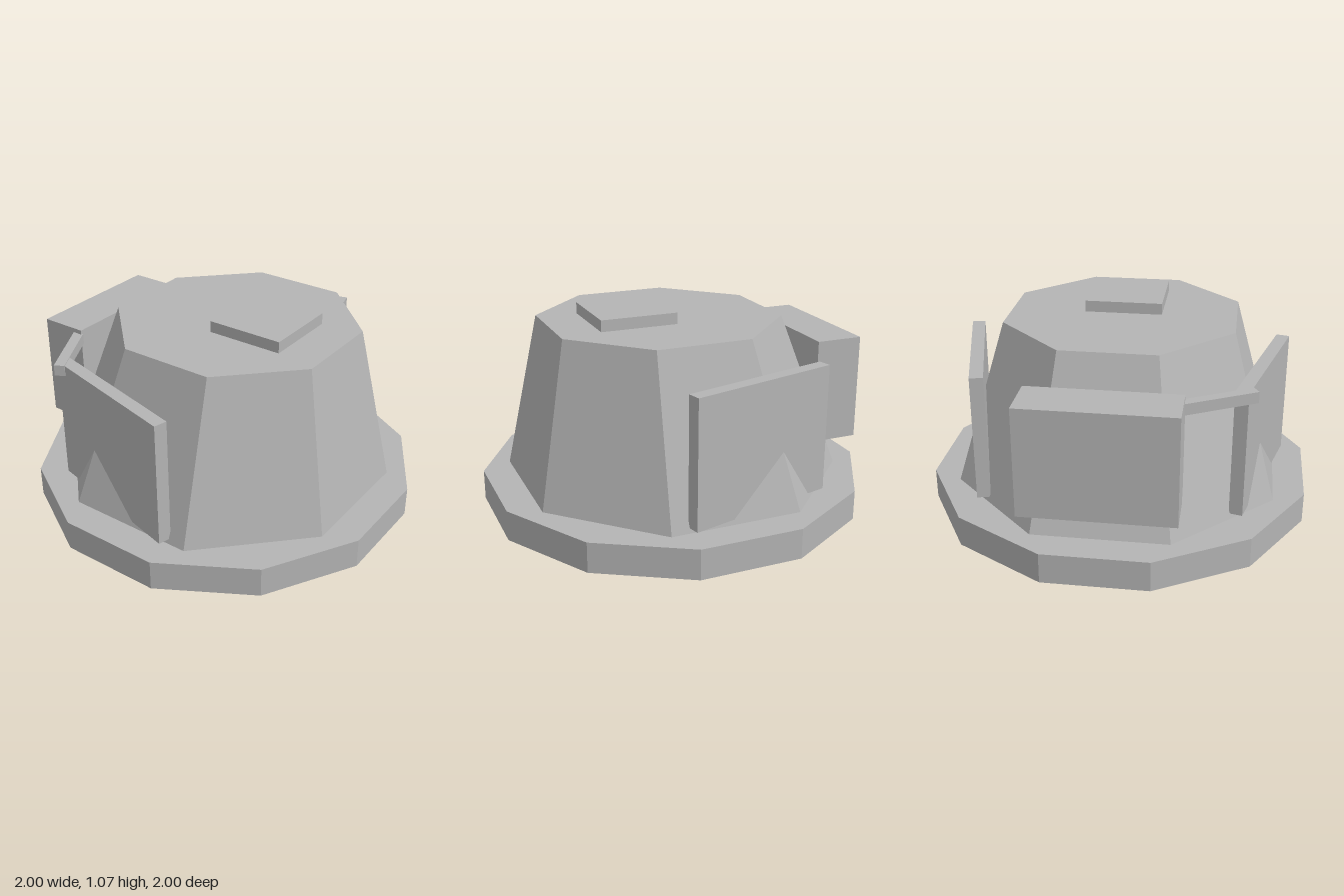
import * as THREE from 'three';

export function createModel() {
  const model = new THREE.Group();
  const grey = new THREE.MeshStandardMaterial({ color: 0xb4b4b4 });
  grey.name = 'plain grey';
  grey.flatShading = true;

  function add(name, geometry, x, y, z, turn = 0) {
    const mesh = new THREE.Mesh(geometry, grey);
    mesh.name = name;
    mesh.position.set(x, y, z);
    mesh.rotation.y = turn;
    model.add(mesh);
    return mesh;
  }

  // Tapered prism with flat sides facing the axes, sized by its flat-to-centre distances
  function prism(top, bottom, height, sides) {
    const k = 1 / Math.cos(Math.PI / sides);
    return new THREE.CylinderGeometry(top * k, bottom * k, height, sides, 1, false, Math.PI / sides);
  }

  // Twelve-sided base ring
  add('base', prism(1, 1, 0.16, 12), 0, 0.08, 0);

  // Eight-sided body, its roof shifted towards the front
  const body = prism(0.6, 0.837, 0.85, 8);
  const p = body.attributes.position;
  for (let i = 0; i < p.count; i++) {
    if (p.getY(i) > 0) p.setZ(i, p.getZ(i) + 0.074);
  }
  body.computeVertexNormals();
  add('body', body, 0, 0.585, 0);

  // Square roof hatch
  add('hatch', new THREE.BoxGeometry(0.41, 0.06, 0.41), 0, 1.04, 0.256);

  // Rear storage box
  add('rearBox', new THREE.BoxGeometry(0.775, 0.565, 0.255), 0, 0.6, -0.807);

  // Slanted side panels
  for (const side of [1, -1]) {
    add(side > 0 ? 'leftPanel' : 'rightPanel',
      new THREE.BoxGeometry(0.07, 0.67, 0.829), side * 0.75, 0.52, -0.157, side * 0.25);
  }

  // Bar joining the rear box to the right panel
  add('connectingBar', new THREE.BoxGeometry(0.4, 0.058, 0.055), -0.54, 0.83, -0.62, 0.498);

  return model;
}
